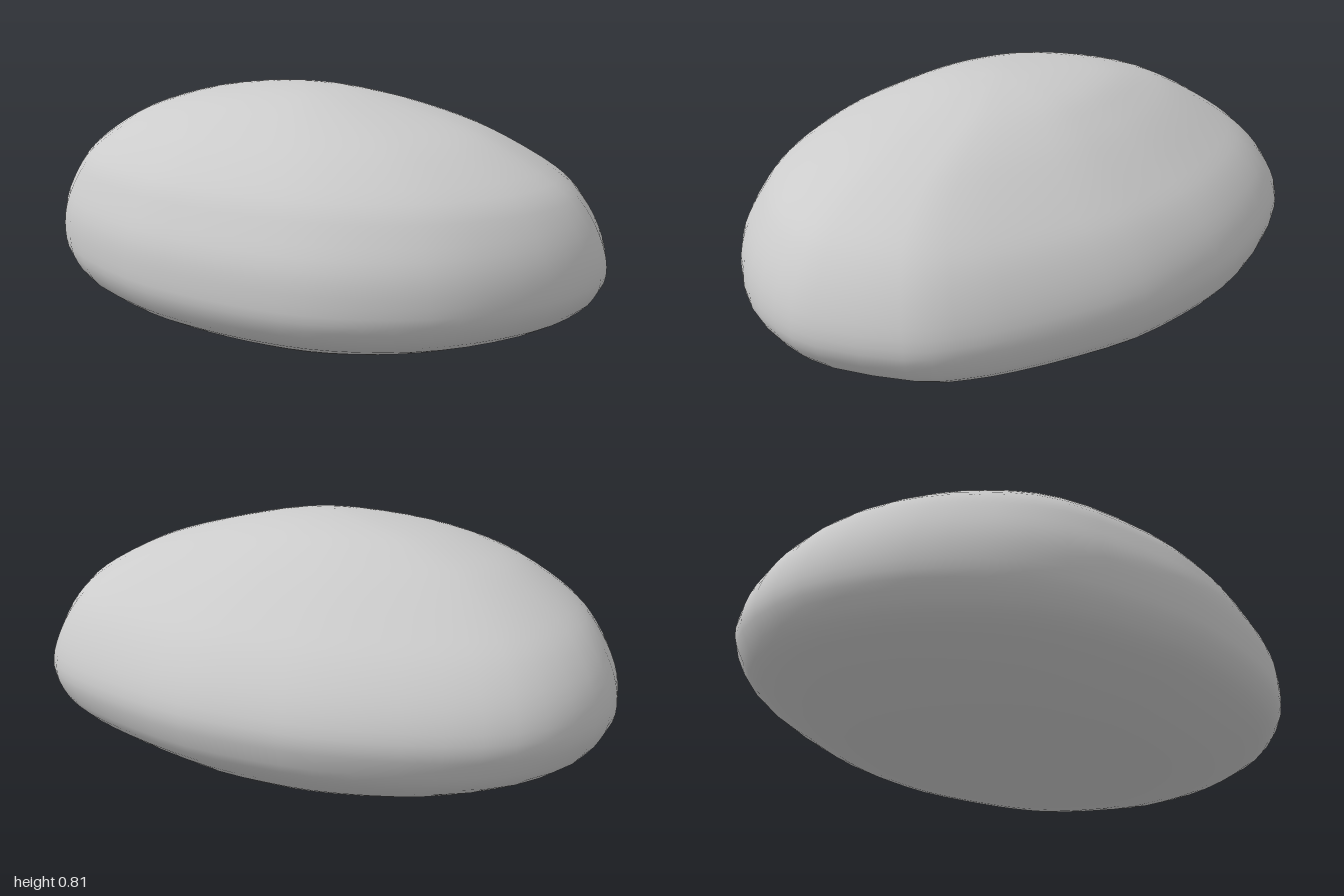
import * as THREE from 'three';

// Widest outline seen from above (x, z), running from the right end round the back
const OUTLINE = [
  [-1, -0.33], [-0.93, -0.53], [-0.79, -0.69], [-0.61, -0.77], [-0.38, -0.8], [-0.12, -0.79],
  [0.1, -0.74], [0.33, -0.66], [0.55, -0.53], [0.73, -0.4], [0.85, -0.29], [0.94, -0.16],
  [1, 0.11], [0.97, 0.28], [0.88, 0.45], [0.73, 0.61], [0.58, 0.71], [0.4, 0.775],
  [0.23, 0.8], [0.06, 0.79], [-0.11, 0.76], [-0.27, 0.715], [-0.43, 0.65], [-0.68, 0.49],
  [-0.85, 0.31], [-0.95, 0.1], [-1, -0.1],
];

// Extent of the stone at each height: y, min x, max x, min z, max z
const LEVELS = [
  [0, -0.03, -0.03, -0.07, -0.07],
  [0.01, -0.36, 0.38, -0.44, 0.32],
  [0.035, -0.62, 0.62, -0.61, 0.52],
  [0.12, -0.89, 0.89, -0.745, 0.72],
  [0.2, -0.975, 0.98, -0.79, 0.79],
  [0.28, -1, 1, -0.8, 0.8],
  [0.38, -0.985, 0.975, -0.76, 0.785],
  [0.48, -0.935, 0.92, -0.68, 0.735],
  [0.56, -0.865, 0.84, -0.58, 0.68],
  [0.65, -0.735, 0.68, -0.455, 0.57],
  [0.71, -0.61, 0.53, -0.355, 0.46],
  [0.765, -0.42, 0.32, -0.24, 0.33],
  [0.798, -0.2, 0.14, -0.09, 0.2],
  [0.81, -0.03, -0.03, 0.06, 0.06],
];

function stoneGeometry(around, up) {
  const spline = (points, closed) => new THREE.CatmullRomCurve3(points, closed, 'catmullrom', 0.5);
  const outline = spline(OUTLINE.map(([x, z]) => new THREE.Vector3(x, 0, z)), true);
  const low = spline(LEVELS.map(([y, x0, , z0]) => new THREE.Vector3(x0, y, z0)), false);
  const high = spline(LEVELS.map(([y, , x1, , z1]) => new THREE.Vector3(x1, y, z1)), false);

  // Fit the outline to the extents of every level
  const positions = [];
  const indices = [];
  for (let j = 0; j <= up; j++) {
    const a = low.getPoint(j / up);
    const b = high.getPoint(j / up);
    for (let i = 0; i < around; i++) {
      const o = outline.getPoint(i / around);
      positions.push(
        THREE.MathUtils.lerp(a.x, b.x, (o.x + 1) / 2),
        Math.max(0, a.y),
        THREE.MathUtils.lerp(a.z, b.z, (o.z + 0.8) / 1.6),
      );
    }
  }
  for (let j = 0; j < up; j++) {
    for (let i = 0; i < around; i++) {
      const next = (i + 1) % around;
      const a = j * around + i, b = j * around + next;
      const c = a + around, d = b + around;
      if (j > 0) indices.push(a, c, b);
      if (j < up - 1) indices.push(b, c, d);
    }
  }

  // Collapse both end rings to a single shared vertex
  const top = up * around;
  const shared = indices.map((i) => (i < around ? 0 : i >= top ? top : i));
  const geometry = new THREE.BufferGeometry();
  geometry.setAttribute('position', new THREE.Float32BufferAttribute(positions, 3));
  geometry.setIndex(shared);
  geometry.computeVertexNormals();
  return geometry;
}

export function createModel() {
  const group = new THREE.Group();
  group.name = 'pebble';
  const stone = new THREE.Mesh(
    stoneGeometry(54, 39),
    new THREE.MeshStandardMaterial({ color: 0xcccccc }),
  );
  stone.name = 'stone';
  group.add(stone);
  return group;
}
